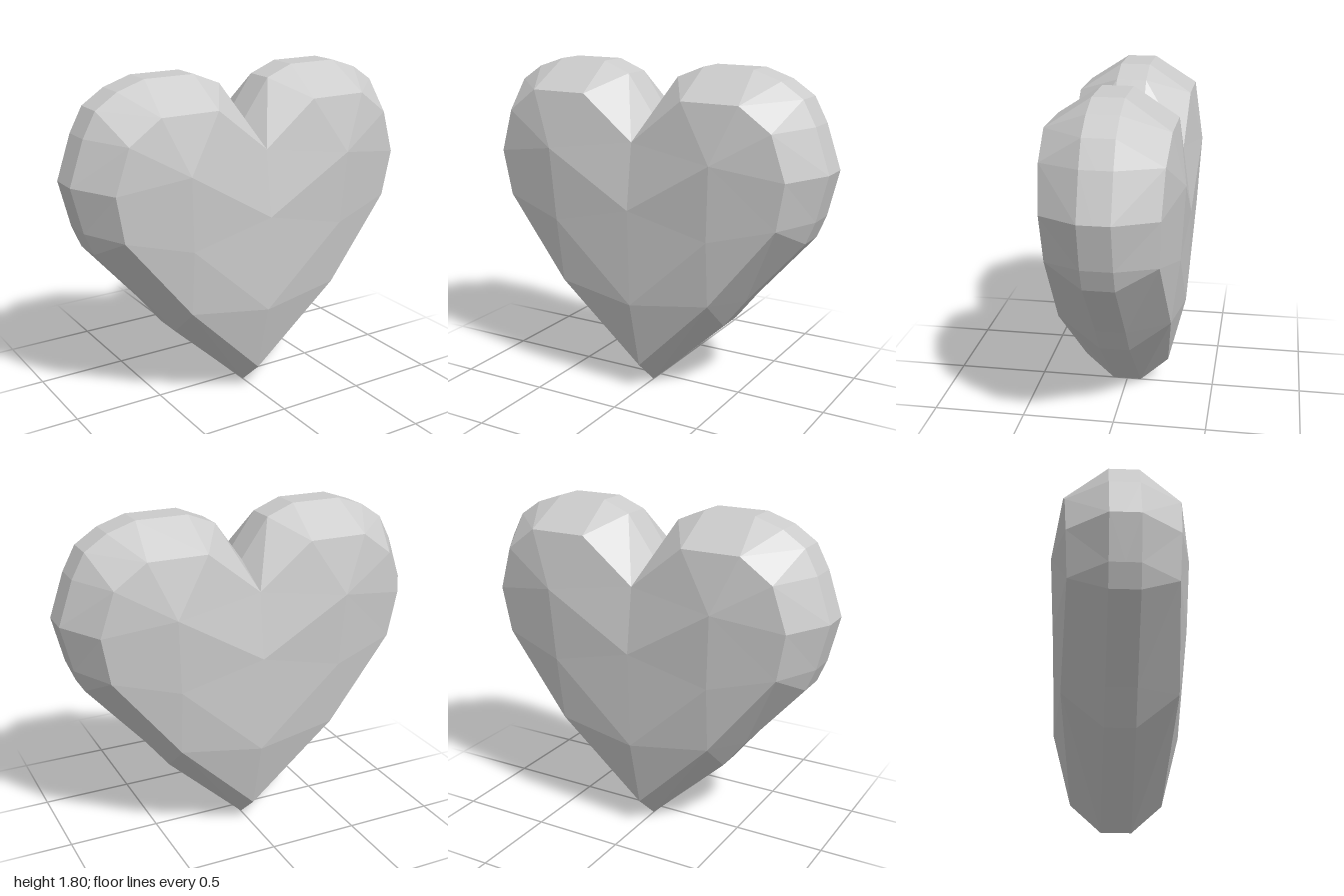
import * as THREE from 'three';

// Right half of each loop, from the notch clockwise to the tip.
// Rim of the front face: x, y, z
const rim = [
  [0, 1.415, 0.305], [0.29, 1.65, 0.31], [0.61, 1.65, 0.31], [0.78, 1.525, 0.30],
  [0.855, 1.29, 0.29], [0.81, 1.04, 0.28], [0.45, 0.59, 0.30], [0, 0.145, 0.24],
];
// Outer edge: x, y, and the rim point it is bevelled to
const edge = [
  [0, 1.53, 0], [0.15, 1.74, 1], [0.30, 1.80, 1], [0.58, 1.80, 2], [0.73, 1.75, 2],
  [0.85, 1.67, 3], [0.92, 1.54, 3], [1.0, 1.305, 4], [0.94, 1.06, 5], [0.89, 0.94, 5],
  [0.57, 0.575, 6], [0.44, 0.41, 6], [0, 0, 7],
];
const EDGE_Z = 0.08;

export function createModel() {
  const positions = [];

  // One triangle, mirrored left/right and front/back
  const tri = (a, b, c) => {
    for (const sx of [1, -1]) for (const sz of [1, -1]) {
      const order = sx * sz > 0 ? [a, b, c] : [a, c, b];
      for (const p of order) positions.push(p[0] * sx, p[1], p[2] * sz);
    }
  };
  const quad = (a, b, c, d) => { tri(a, b, c); tri(a, c, d); };

  // Side band and bevel
  for (let i = 0; i < edge.length - 1; i++) {
    const [x0, y0, r0] = edge[i];
    const [x1, y1, r1] = edge[i + 1];
    const a = [x0, y0, EDGE_Z], b = [x1, y1, EDGE_Z];
    quad(a, b, [x1, y1, 0], [x0, y0, 0]);
    if (r0 === r1) tri(rim[r0], b, a);
    else quad(rim[r0], rim[r1], b, a);
  }

  // Softly domed face
  const lobe = [0.48, 1.35, 0.368];
  const centre = [0, 1.06, 0.354];
  const flank = [0.46, 0.95, 0.345];
  const lower = [0, 0.53, 0.336];
  for (let i = 0; i < 4; i++) tri(lobe, rim[i + 1], rim[i]);
  tri(lobe, rim[0], centre);
  tri(lobe, rim[5], rim[4]);
  tri(lobe, flank, rim[5]);
  tri(lobe, centre, flank);
  tri(flank, rim[6], rim[5]);
  tri(flank, lower, rim[6]);
  tri(flank, centre, lower);
  tri(lower, rim[7], rim[6]);

  const geometry = new THREE.BufferGeometry();
  geometry.setAttribute('position', new THREE.Float32BufferAttribute(positions, 3));
  geometry.computeVertexNormals();

  const heart = new THREE.Mesh(
    geometry,
    new THREE.MeshStandardMaterial({ color: 0xcccccc, flatShading: true })
  );
  heart.name = 'heart';
  const group = new THREE.Group();
  group.name = 'facetedHeart';
  group.add(heart);
  return group;
}
